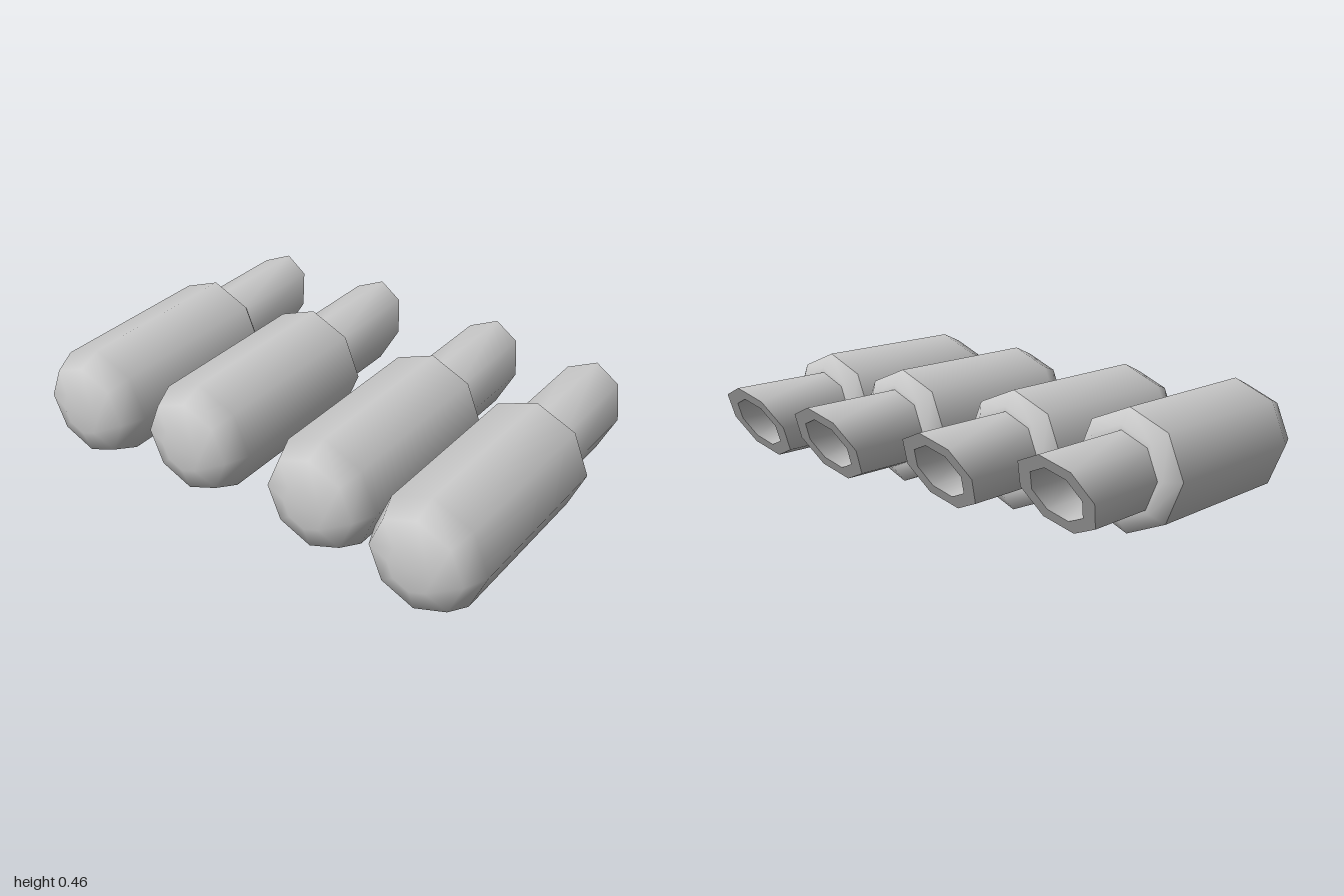
import * as THREE from 'three';
import { toCreasedNormals } from 'three/addons/utils/BufferGeometryUtils.js';

// Eight-sided lathe along z; profile is [radius, z] from back to front
function turned(profile) {
  const points = profile.map(([r, z]) => new THREE.Vector2(r, z));
  return new THREE.LatheGeometry(points, 8).rotateX(Math.PI / 2);
}

// Slant everything behind the collar so the pipe ends in an angled cut
function slantEnd(geometry) {
  const p = geometry.attributes.position;
  for (let i = 0; i < p.count; i++) {
    if (p.getZ(i) < -0.25) p.setZ(i, p.getZ(i) - p.getY(i) * 0.613);
  }
  return geometry;
}

export function createModel() {
  const model = new THREE.Group();
  model.name = 'pipeSet';
  const metal = new THREE.MeshStandardMaterial({ color: 0xcccccc });
  metal.name = 'light grey metal';

  // Main canister with a rounded nose
  const body = turned([[0.228, -0.14], [0.228, 0.55], [0.188, 0.642], [0.09, 0.677], [0, 0.677]]);

  // Bevelled back shoulder with a flat ring around the pipe
  const collar = toCreasedNormals(turned([[0.14, -0.187], [0.175, -0.187], [0.228, -0.14]]), 0.9);

  // Hollow pipe: hole floor, hole wall, slanted rim, outer wall
  const pipe = toCreasedNormals(slantEnd(turned([
    [0, -0.3], [0.105, -0.3], [0.105, -0.535], [0.155, -0.535], [0.155, -0.15],
  ])), THREE.MathUtils.degToRad(50));

  // Two mirrored pairs, the inner pair set slightly further back
  for (const side of [-1, 1]) {
    for (const [label, x, z] of [['outer', 0.772, 0], ['inner', 0.29, -0.05]]) {
      const unit = new THREE.Group();
      unit.name = label + (side > 0 ? 'LeftUnit' : 'RightUnit');
      for (const [name, geometry] of [['body', body], ['collar', collar], ['pipe', pipe]]) {
        const mesh = new THREE.Mesh(geometry, metal);
        mesh.name = name;
        unit.add(mesh);
      }
      unit.position.set(side * x, 0.23, z);
      model.add(unit);
    }
  }
  return model;
}
